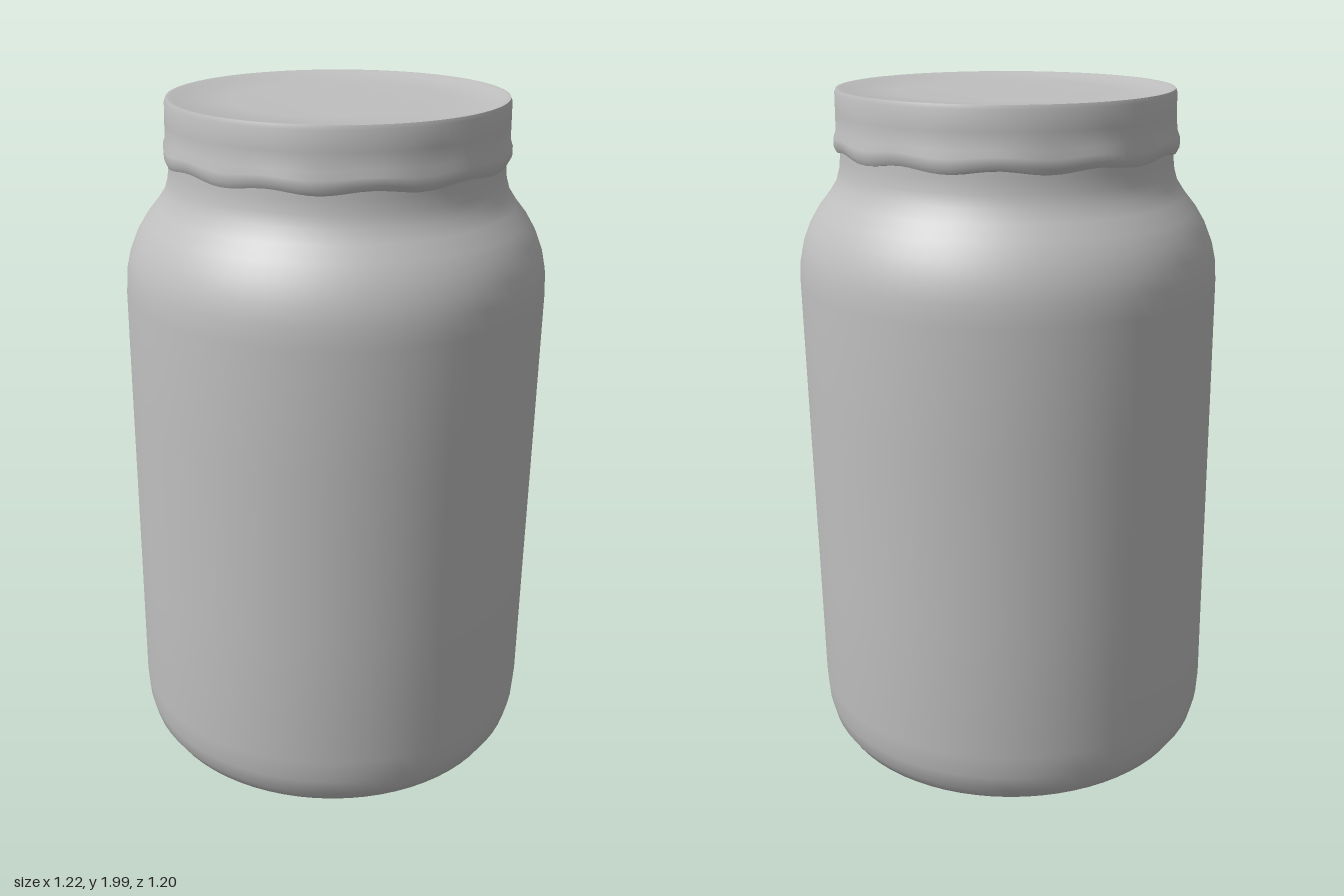
import * as THREE from 'three';
import { toCreasedNormals } from 'three/addons/utils/BufferGeometryUtils.js';

// Revolve a profile, then move its vertices by a rule
function revolve(profile, rule, segments = 72) {
  const points = profile.map(([r, y]) => new THREE.Vector2(r, y));
  const geometry = new THREE.LatheGeometry(points, segments);
  const pos = geometry.attributes.position;
  const v = new THREE.Vector3();
  for (let i = 0; i < pos.count; i++) {
    v.fromBufferAttribute(pos, i);
    rule(v);
    pos.setXYZ(i, v.x, v.y, v.z);
  }
  return toCreasedNormals(geometry, 0.75);
}

// The whole jar leans a touch towards +x and its foot is slightly tilted
function lean(v) {
  const foot = Math.max(0, 1 - v.y / 0.3);
  v.y -= 0.012 * v.x * foot;
  v.x += 0.024 * (v.y / 2 - 0.5);
}

export function createModel() {
  const jar = new THREE.Group();
  jar.name = 'jar';
  const grey = new THREE.MeshStandardMaterial({ color: 0xbfbfbf });
  grey.name = 'plain grey';

  // Body: shallow dished base, rounded foot, straight wall, shoulder and neck
  const bodyProfile = [
    [0, 0.025], [0.25, 0.022], [0.42, 0.013], [0.48, 0.011], [0.52, 0.019],
    [0.555, 0.042], [0.58, 0.08], [0.593, 0.13], [0.598, 0.2], [0.599, 0.6],
    [0.601, 1.1], [0.602, 1.46], [0.598, 1.52], [0.587, 1.57], [0.567, 1.62],
    [0.54, 1.665], [0.508, 1.705], [0.485, 1.74], [0.475, 1.775],
    [0.471, 1.81], [0.47, 1.85],
  ];
  const body = new THREE.Mesh(revolve(bodyProfile, lean), grey);
  body.name = 'body';

  // Lid: gently crimped skirt, narrow rim and a slightly sunken top
  const lidProfile = [
    [0.462, 1.825], [0.478, 1.828], [0.486, 1.843], [0.486, 1.865],
    [0.479, 1.885], [0.478, 1.93], [0.477, 1.985], [0.473, 1.996],
    [0.462, 1.996], [0.445, 1.988], [0.3, 1.984], [0, 1.981],
  ];
  const lid = new THREE.Mesh(revolve(lidProfile, (v) => {
    const angle = Math.atan2(v.x, v.z);
    const skirt = THREE.MathUtils.clamp((1.92 - v.y) / 0.08, 0, 1);
    const crimp = Math.sin(angle * 13) + 0.6 * Math.sin(angle * 8 + 1);
    const scale = 1 + 0.004 * skirt * crimp;
    v.x *= scale;
    v.z *= scale;
    v.y += 0.006 * skirt * Math.sin(angle * 11 + 2);
    lean(v);
  }, 96), grey);
  lid.name = 'lid';

  jar.add(body, lid);
  return jar;
}
